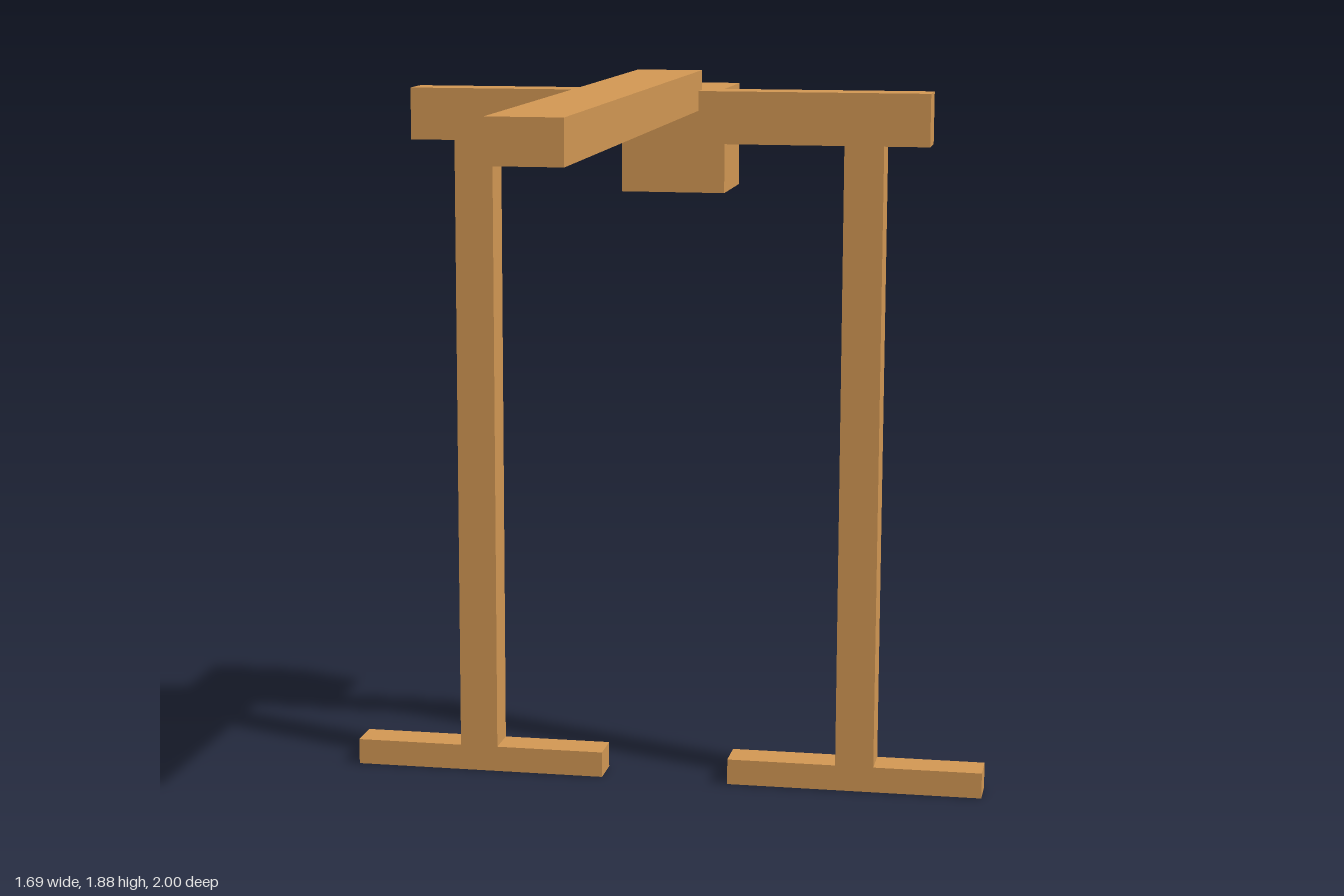
import * as THREE from 'three';

export function createModel() {
  const model = new THREE.Group();
  const wood = new THREE.MeshStandardMaterial({ color: 0xd39854 });

  // Box given by its [min, max] extent on each axis
  function addBox(name, [x0, x1], [y0, y1], [z0, z1]) {
    const mesh = new THREE.Mesh(new THREE.BoxGeometry(x1 - x0, y1 - y0, z1 - z0), wood);
    mesh.position.set((x0 + x1) / 2, (y0 + y1) / 2, (z0 + z1) / 2);
    mesh.name = name;
    model.add(mesh);
  }

  const frameZ = [-0.746, -0.645];
  const footTop = 0.068, beamBottom = 1.699, beamTop = 1.833;

  // Two legs, each a post on a long flat foot
  for (const [side, s] of [['left', 1], ['right', -1]]) {
    const mirror = (a, b) => (s > 0 ? [a, b] : [-b, -a]);
    addBox(`${side}Foot`, mirror(0.17, 0.844), [0, footTop], frameZ);
    addBox(`${side}Post`, mirror(0.458, 0.559), [footTop, beamBottom], frameZ);
  }

  // Crossbeam joining the posts
  addBox('crossbeam', [-0.675, 0.675], [beamBottom, beamTop], frameZ);

  // Counterweight block behind the beam
  addBox('counterweight', [-0.135, 0.135], [1.564, beamTop], [-1, frameZ[0]]);

  // Long arm reaching forward, let into the top of the beam
  addBox('arm', [-0.083, 0.083], [1.783, 1.883], [-0.695, 1]);

  return model;
}
